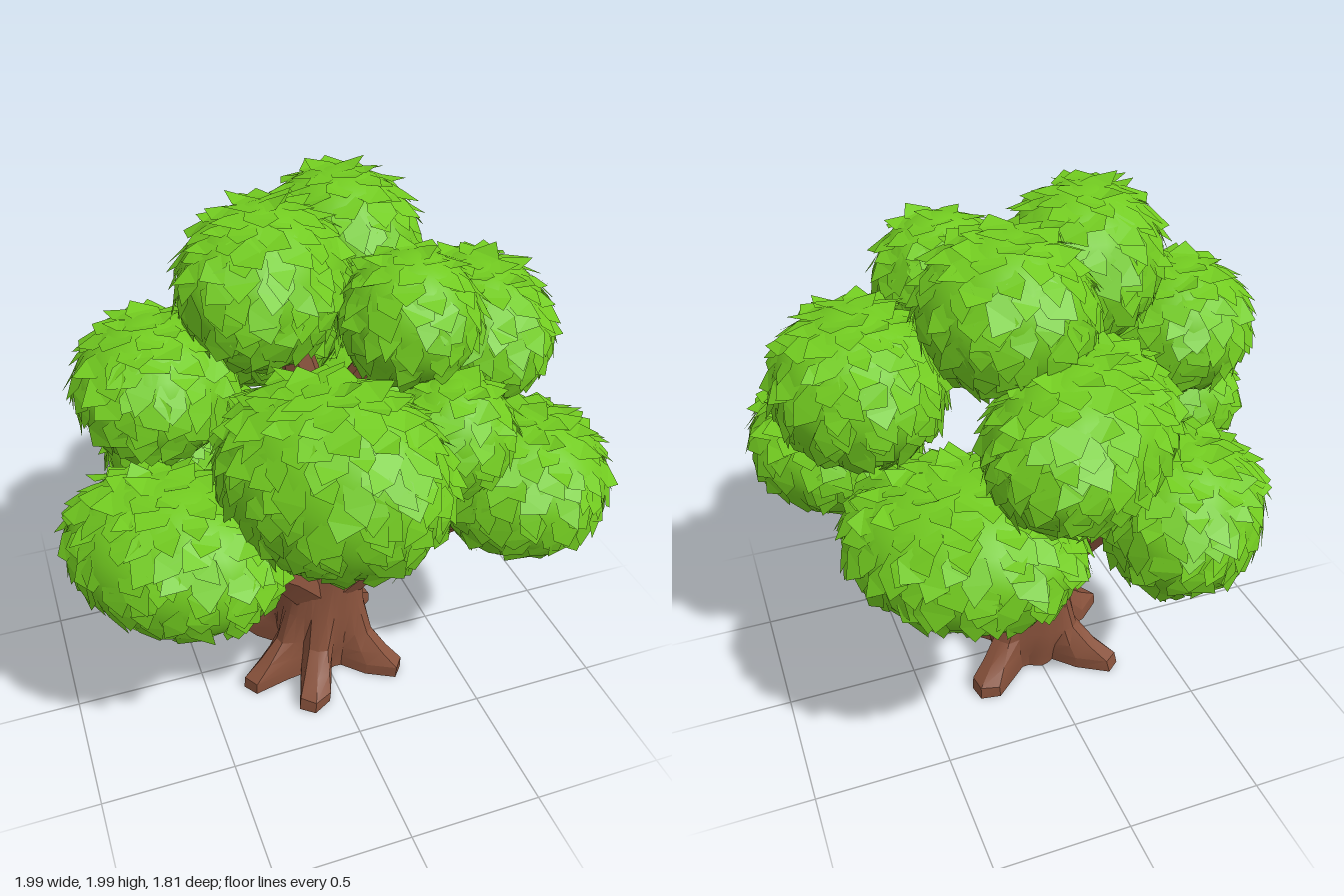
import * as THREE from 'three';
import { toCreasedNormals, mergeGeometries } from 'three/addons/utils/BufferGeometryUtils.js';

const bark = new THREE.MeshStandardMaterial({ color: 0x87513b });
bark.name = 'bark brown';
const leafGreen = new THREE.MeshStandardMaterial({ color: 0x72cb20, side: THREE.DoubleSide });
leafGreen.name = 'leaf green';

// Small seeded random source, returning -1..1
let seed = 7;
function jitter() {
  seed = (seed * 16807) % 2147483647;
  return (seed / 2147483647) * 2 - 1;
}

function addMesh(group, name, geometry, material) {
  const mesh = new THREE.Mesh(geometry, material);
  mesh.name = name;
  group.add(mesh);
}

// Trunk: stacked rings that flare into five roots at the ground
function trunkGeometry() {
  const heights = [0, 0.05, 0.1, 0.17, 0.3, 0.47, 0.62, 0.82, 1.12];
  const radii = [0.15, 0.155, 0.165, 0.17, 0.165, 0.16, 0.165, 0.12, 0.06];
  const flare = [0.225, 0.215, 0.13, 0.05, 0.015, 0, 0, 0, 0];
  const roots = [[-0.25, -0.25], [0.25, 0.25], [0.28, -0.23], [-0.13, 0.33], [-0.35, 0.16]]
    .map(([x, z]) => Math.atan2(z, x));
  const geo = new THREE.CylinderGeometry(1, 1, 1, 36, heights.length - 1);
  const pos = geo.attributes.position;
  for (let i = 0; i < pos.count; i++) {
    const ring = Math.round((pos.getY(i) + 0.5) * (heights.length - 1));
    const x = pos.getX(i), z = pos.getZ(i);
    const onAxis = Math.hypot(x, z) < 0.01;
    const angle = Math.atan2(z, x);
    let lobe = 0;
    for (const a of roots) {
      const d = Math.atan2(Math.sin(angle - a), Math.cos(angle - a));
      lobe = Math.max(lobe, Math.exp(-Math.pow(d / 0.28, 4)));
    }
    // Shallow ridges keep the bark faceted
    const ridge = 1 + 0.05 * Math.sin(angle * 7 + ring * 0.8);
    const r = onAxis ? 0 : radii[ring] * ridge + flare[ring] * lobe;
    pos.setXYZ(i, Math.cos(angle) * r + 0.012 * Math.min(ring, 4) / 4, heights[ring], Math.sin(angle) * r);
  }
  return toCreasedNormals(geo, 0.45);
}

// Branch: a faceted tube that tapers along its path
function branchGeometry(points, r0, r1) {
  const curve = new THREE.CatmullRomCurve3(points.map((p) => new THREE.Vector3(...p)));
  const steps = 6, sides = 7;
  const geo = new THREE.TubeGeometry(curve, steps, 1, sides);
  const pos = geo.attributes.position;
  const v = new THREE.Vector3();
  for (let i = 0; i < pos.count; i++) {
    const t = Math.floor(i / (sides + 1)) / steps;
    const center = curve.getPointAt(t);
    v.fromBufferAttribute(pos, i).sub(center).multiplyScalar(r0 + (r1 - r0) * t).add(center);
    pos.setXYZ(i, v.x, v.y, v.z);
  }
  return toCreasedNormals(geo, 0.5);
}

// Leaf clump: an ellipsoid core shingled with pointed, drooping leaves, turned by yaw
function clumpGeometry([cx, cy, cz], [rx, ry, rz], yaw) {
  const radii = new THREE.Vector3(rx, ry, rz);
  const core = new THREE.SphereGeometry(1, 24, 16).toNonIndexed();
  core.scale(rx * 0.96, ry * 0.96, rz * 0.96);
  core.deleteAttribute('uv');

  const verts = [];
  const count = Math.round(2100 * ((rx + ry + rz) / 3) ** 2);
  for (let i = 0; i < count; i++) {
    // Even spiral over the sphere
    const h = 1 - (2 * (i + 0.5)) / count;
    const a = i * 2.39996 + jitter() * 0.2;
    const s = Math.sqrt(1 - h * h);
    const dir = new THREE.Vector3(Math.cos(a) * s, h, Math.sin(a) * s);
    const point = dir.clone().multiply(radii);
    const normal = dir.clone().divide(radii).normalize();
    const down = new THREE.Vector3(0, -1, 0).addScaledVector(normal, normal.y).normalize();
    down.applyAxisAngle(normal, jitter() * 0.75);
    const side = new THREE.Vector3().crossVectors(down, normal);
    const length = 0.11 + 0.03 * jitter();
    const width = 0.048 + 0.012 * jitter();
    const lift = 0.005 + 0.012 * jitter() + 0.018 * Math.max(0, h);
    const at = (along, across, out) => point.clone()
      .addScaledVector(down, along * length)
      .addScaledVector(side, across * width)
      .addScaledVector(normal, out);
    const baseL = at(-0.5, -0.7, -0.022), baseR = at(-0.5, 0.7, -0.022);
    const midL = at(0.1, -1, -0.006), midR = at(0.1, 1, -0.006);
    const tip = at(0.6, 0.3 * jitter(), lift);
    for (const p of [baseL, midL, midR, baseL, midR, baseR, midL, tip, midR]) verts.push(p.x, p.y, p.z);
  }
  const leaves = new THREE.BufferGeometry();
  leaves.setAttribute('position', new THREE.Float32BufferAttribute(verts, 3));
  leaves.computeVertexNormals();
  return mergeGeometries([core, leaves]).rotateY(yaw).translate(cx, cy, cz);
}

export function createModel() {
  const tree = new THREE.Group();
  tree.name = 'tree';

  addMesh(tree, 'trunk', trunkGeometry(), bark);

  const branches = [
    // Four lower limbs
    [[[-0.02, 0.38, 0.02], [-0.19, 0.57, 0.1], [-0.48, 0.77, 0.24]], 0.13, 0.035],
    [[[0.03, 0.38, 0.02], [0.23, 0.57, 0.11], [0.56, 0.77, 0.26]], 0.13, 0.035],
    [[[0.02, 0.38, -0.02], [0.14, 0.57, -0.17], [0.34, 0.82, -0.4]], 0.13, 0.04],
    [[[-0.02, 0.42, -0.02], [-0.12, 0.6, -0.14], [-0.27, 0.82, -0.32]], 0.13, 0.04],
    // Side forks
    [[[0.16, 0.56, 0.06], [0.25, 0.68, 0.07], [0.42, 0.84, 0.1]], 0.05, 0.03],
    [[[-0.15, 0.57, 0.06], [-0.17, 0.7, 0.1], [-0.24, 0.88, 0.18]], 0.05, 0.03],
    // Upper limbs
    [[[0, 0.55, 0.05], [-0.03, 0.76, 0.16], [-0.08, 1.05, 0.34]], 0.1, 0.06],
    [[[0.02, 0.75, -0.02], [0.02, 1, -0.18], [0.01, 1.25, -0.4]], 0.08, 0.04],
    [[[0.01, 0.8, 0], [-0.01, 1.15, -0.03], [-0.1, 1.55, -0.05]], 0.1, 0.05],
    [[[0.01, 0.95, 0], [0.07, 1.2, 0.02], [0.2, 1.5, 0.13]], 0.06, 0.03],
  ];
  branches.forEach(([path, r0, r1], i) => addMesh(tree, `branch${i + 1}`, branchGeometry(path, r0, r1), bark));

  // Clump centre, radii and yaw
  const turn = Math.PI / 4;
  const clumps = {
    crownLeaves: [[-0.18, 1.69, -0.03], [0.28, 0.28, 0.33], -turn],
    crownBackLeaves: [[0.19, 1.68, -0.3], [0.28, 0.27, 0.3], turn],
    crownFrontLeaves: [[0.25, 1.61, 0.21], [0.24, 0.23, 0.24], 0],
    frontLeaves: [[-0.13, 1.26, 0.52], [0.4, 0.34, 0.31], -turn],
    upperRightLeaves: [[-0.57, 1.39, -0.01], [0.28, 0.25, 0.29], 0],
    upperLeftLeaves: [[0.62, 1.38, -0.05], [0.3, 0.28, 0.33], 0],
    upperBackLeaves: [[0.02, 1.33, -0.53], [0.41, 0.28, 0.3], turn],
    smallFrontLeaves: [[0.34, 1.24, 0.4], [0.22, 0.22, 0.21], 0],
    lowerRightFrontLeaves: [[-0.62, 0.94, 0.32], [0.4, 0.28, 0.3], -turn],
    lowerLeftFrontLeaves: [[0.65, 0.96, 0.34], [0.33, 0.27, 0.34], 0],
    lowerLeftBackLeaves: [[0.41, 0.97, -0.47], [0.42, 0.26, 0.34], -turn],
    lowerRightBackLeaves: [[-0.41, 0.88, -0.46], [0.29, 0.29, 0.34], -turn],
  };
  // Yaw +45 or -45 degrees aims the long axis of a clump along a diagonal
  for (const [name, [center, radii, yaw]] of Object.entries(clumps)) {
    addMesh(tree, name, clumpGeometry(center, radii, yaw), leafGreen);
  }
  return tree;
}
